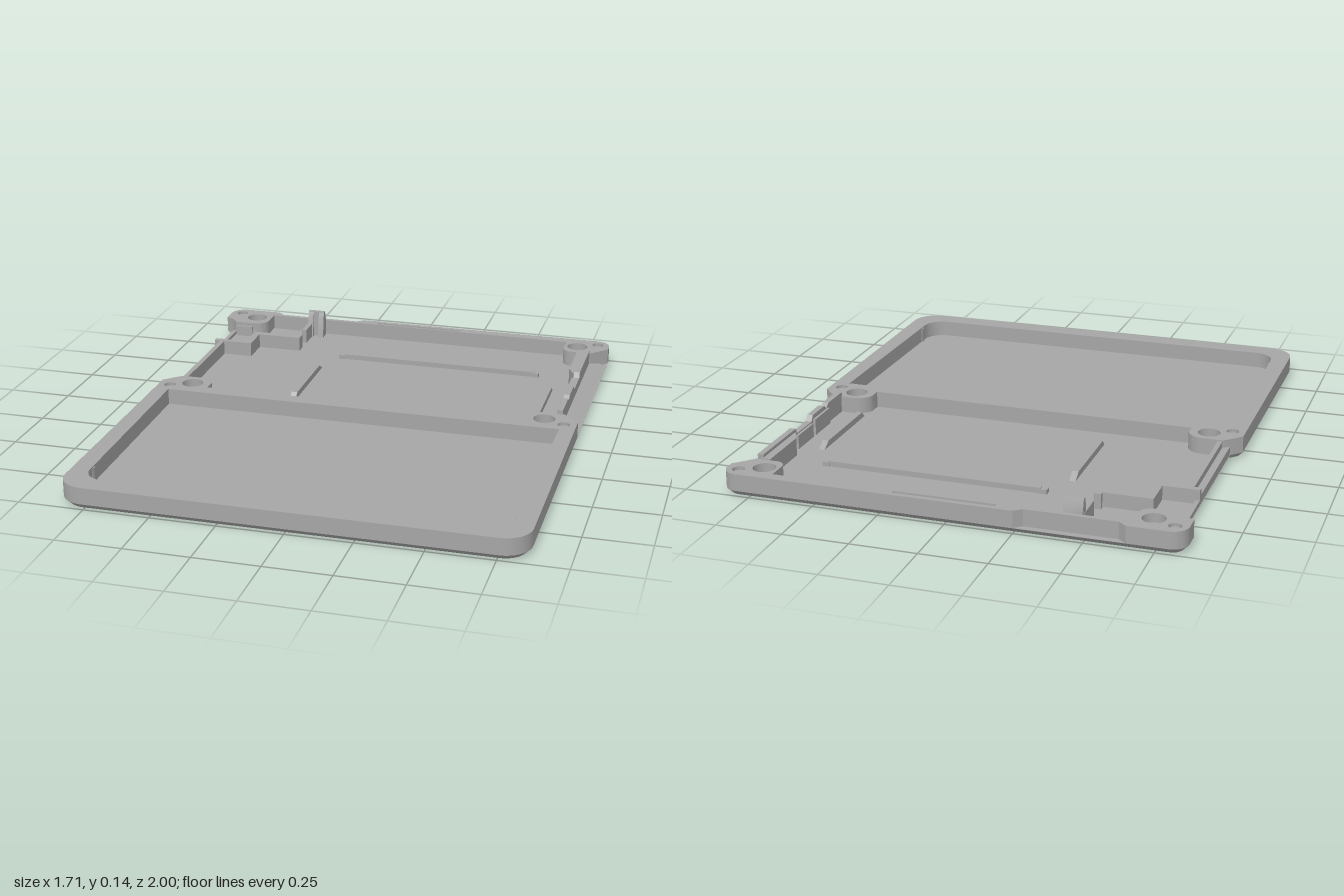
import * as THREE from 'three';
import { toCreasedNormals } from 'three/addons/utils/BufferGeometryUtils.js';

// Polygon path from [x, z, optional corner radius]
function outline(points, Type = THREE.Shape) {
  const path = new Type();
  const n = points.length;
  points.forEach(([x, z, r = 0], i) => {
    const p = new THREE.Vector2(x, z);
    const toward = ([a, b]) => new THREE.Vector2(a, b).sub(p).setLength(r).add(p);
    const a = r ? toward(points[(i + n - 1) % n]) : p;
    const b = r ? toward(points[(i + 1) % n]) : p;
    if (i) path.lineTo(a.x, a.y);
    else path.moveTo(a.x, a.y);
    if (r) {
      const k = 0.5523;
      const c1 = a.clone().lerp(p, k), c2 = b.clone().lerp(p, k);
      path.bezierCurveTo(c1.x, c1.y, c2.x, c2.y, b.x, b.y);
    }
  });
  path.closePath();
  return path;
}

const circle = (x, z, r, Type = THREE.Path) => new Type().absarc(x, z, r, 0, Math.PI * 2, false);
const rect = (x0, x1, z0, z1) => [[x0, z0], [x1, z0], [x1, z1], [x0, z1]];

export function createModel() {
  const group = new THREE.Group();
  const grey = new THREE.MeshStandardMaterial({ color: 0xa6a6a6 });
  grey.name = 'grey plastic';

  const add = (name, geometry) => {
    const mesh = new THREE.Mesh(toCreasedNormals(geometry, 0.5), grey);
    mesh.name = name;
    group.add(mesh);
    return mesh;
  };
  // Plan shape raised from y0 to y1
  const prism = (name, shape, y0, y1) => {
    const g = new THREE.ExtrudeGeometry(shape, { depth: y1 - y0, bevelEnabled: false, curveSegments: 10 });
    return add(name, g.rotateX(Math.PI / 2).translate(0, y1, 0));
  };
  // Side profile of [z, y] points, running from x0 to x1
  const profile = (name, points, x0, x1) => {
    const g = new THREE.ExtrudeGeometry(outline(points.map(([z, y]) => [-z, y])), { depth: x1 - x0, bevelEnabled: false });
    return add(name, g.rotateY(Math.PI / 2).translate(x0, 0, 0));
  };
  const block = (name, x0, x1, z0, z1, y0, y1) => prism(name, outline(rect(x0, x1, z0, z1)), y0, y1);

  const FLOOR = 0.021, RIM = 0.085;
  const screws = [[-0.725, -0.91], [0.725, -0.91], [-0.725, -0.07], [0.725, -0.07]];

  // Base plate, chamfered underneath, with countersunk screw holes
  const base = outline([
    [-0.857, 1, 0.1], [0.857, 1, 0.1], [0.857, -1, 0.06], [-0.857, -1, 0.06],
    [-0.857, -0.88], [-0.818, -0.84], [-0.818, -0.11], [-0.857, -0.07],
  ]);
  base.holes = screws.map(([x, z]) => circle(x, z, 0.02));
  const plate = new THREE.ExtrudeGeometry(base, {
    depth: 0.001, bevelThickness: 0.02, bevelSize: 0.02, bevelOffset: -0.02, bevelSegments: 1, curveSegments: 10,
  }).rotateX(Math.PI / 2).translate(0, FLOOR, 0);
  const pos = plate.attributes.position;
  for (let i = 0; i < pos.count; i++) pos.setY(i, Math.min(pos.getY(i), FLOOR));
  add('basePlate', plate);

  // Front frame around the large pocket, with the middle screw bosses
  const half = [[0.857, 1, 0.1], [0.857, -0.07], [0.815, -0.115], [0.79, -0.135], [0.67, -0.135, 0.04],
    [0.65, -0.09], [0.65, -0.04]];
  const front = outline([...half, ...half.map(([x, z, r]) => [-x, z, r]).reverse()]);
  front.holes = [outline([[-0.797, 0.02], [0.797, 0.02], [0.785, 0.92, 0.08], [-0.785, 0.92, 0.08]], THREE.Path)];

  // Rear frame with two corner bosses, an outer notch and a slot
  const rear = outline([
    [-0.857, -1, 0.06], [-0.65, -1], [-0.62, -0.975], [-0.28, -0.975], [-0.25, -1],
    [0.857, -1, 0.06], [0.857, -0.91], [0.79, -0.84], [0.67, -0.84, 0.04], [0.67, -0.957],
    [-0.66, -0.957], [-0.66, -0.84, 0.04], [-0.72, -0.83], [-0.8, -0.83], [-0.82, -0.86], [-0.857, -0.88],
  ]);
  rear.holes = [outline(rect(-0.18, 0.2, -0.98, -0.964), THREE.Path)];

  for (const s of [-1, 1]) {
    front.holes.push(circle(s * 0.725, -0.07, 0.043), circle(s * 0.808, -0.03, 0.024));
    rear.holes.push(circle(s * 0.725, -0.91, 0.043), circle(s * 0.808, -0.95, 0.024));
    for (const z of [-0.03, -0.95]) prism('shallowPeg', circle(s * 0.808, z, 0.0245, THREE.Shape), FLOOR, 0.072);
    prism('pocketPost', circle(s * 0.806, 0.81, 0.025, THREE.Shape), FLOOR, 0.08);
  }
  prism('frontFrame', front, FLOOR, RIM);
  prism('rearFrame', rear, FLOOR, RIM);

  // Seats inside the screw bosses
  for (const [x, z] of screws) {
    const ring = circle(x, z, 0.0435, THREE.Shape);
    ring.holes = [circle(x, z, 0.021)];
    prism('screwSeat', ring, FLOOR, 0.05);
  }

  // Right side: raised port wall with dips, thicker rear part, sloped outer skirt
  profile('rightPortWall', [
    [-0.13, FLOOR], [-0.13, 0.102], [-0.26, 0.102], [-0.28, 0.087], [-0.3, 0.102], [-0.405, 0.102],
    [-0.42, 0.08], [-0.55, 0.08], [-0.56, 0.102], [-0.835, 0.102], [-0.835, FLOOR],
  ], 0.765, 0.788);
  prism('rightThickWall', outline([[0.735, -0.84], [0.77, -0.84], [0.77, -0.57], [0.76, -0.57], [0.735, -0.62]]), FLOOR, 0.09);
  block('rightPortBlock', 0.755, 0.785, -0.56, -0.425, FLOOR, 0.075);
  block('rightPortBlock', 0.755, 0.785, -0.405, -0.27, FLOOR, 0.085);
  const skirt = outline([[0.785, FLOOR], [0.85, FLOOR], [0.785, 0.042]]);
  add('rightSkirt', new THREE.ExtrudeGeometry(skirt, { depth: 0.79, bevelEnabled: false }).translate(0, 0, -0.88));

  // Left side: low outer wall and taller inner lip
  block('leftOuterWall', -0.816, -0.785, -0.6, -0.11, FLOOR, 0.055);
  block('leftInnerLip', -0.79, -0.772, -0.59, -0.13, FLOOR, 0.08);
  block('leftLowSill', -0.816, -0.8, -0.84, -0.6, FLOOR, 0.04);
  block('cornerTab', -0.79, -0.72, -0.84, -0.818, FLOOR, 0.07);

  // Stepped corner wall around a slightly raised floor
  prism('steppedWall', outline([
    [-0.816, -0.615], [-0.68, -0.615], [-0.68, -0.74], [-0.495, -0.74], [-0.495, -0.755], [-0.467, -0.755],
    [-0.467, -0.712], [-0.65, -0.712], [-0.65, -0.592], [-0.816, -0.592],
  ]), FLOOR, 0.08);
  block('cornerWall', -0.487, -0.467, -0.96, -0.815, FLOOR, 0.08);
  prism('cornerFloor', outline([
    [-0.8, -0.84], [-0.66, -0.84], [-0.66, -0.95], [-0.5, -0.95], [-0.5, -0.74], [-0.68, -0.74], [-0.68, -0.615], [-0.8, -0.615],
  ]), FLOOR, 0.026);

  // Upright clip with a split lower front
  profile('clip', [[-0.948, FLOOR], [-0.92, FLOOR], [-0.92, 0.135], [-0.935, 0.135], [-0.948, 0.09]], -0.485, -0.415);
  for (const x of [-0.485, -0.438]) {
    profile('clipRib', [[-0.921, FLOOR], [-0.9, FLOOR], [-0.912, 0.11], [-0.921, 0.135]], x, x + 0.023);
  }

  // Floor ribs with sloped ends
  for (const x of [-0.325, 0.67]) {
    profile('longFloorRib', [[-0.54, FLOOR], [-0.5, 0.045], [-0.18, 0.045], [-0.155, FLOOR]], x - 0.012, x + 0.012);
  }
  block('crossFloorRib', -0.25, 0.58, -0.684, -0.666, FLOOR, 0.042);
  for (const x of [-0.26, 0.585]) block('crossRibEnd', x - 0.014, x + 0.014, -0.688, -0.662, FLOOR, 0.038);

  return group;
}
